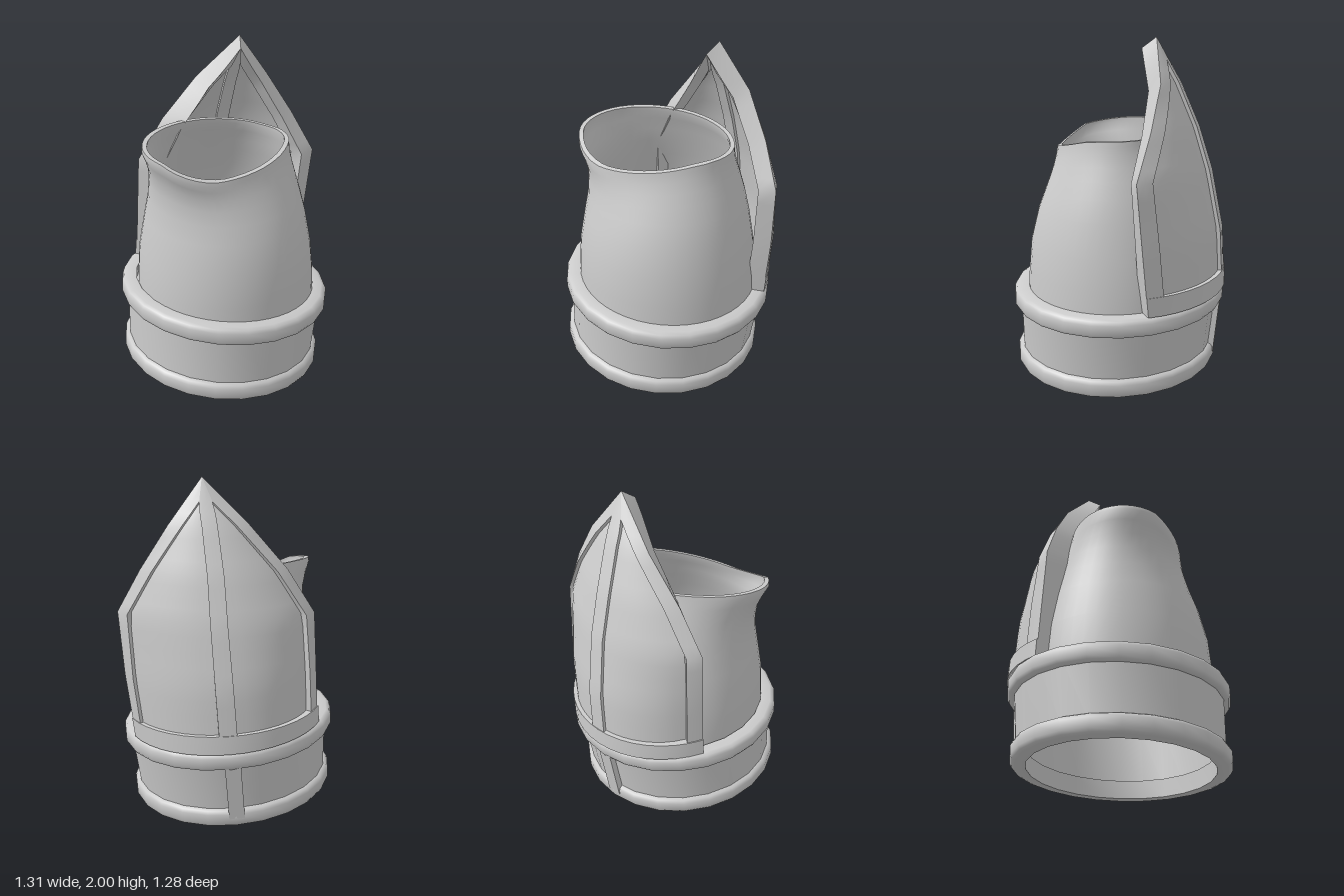
import * as THREE from 'three';
import { toCreasedNormals } from 'three/addons/utils/BufferGeometryUtils.js';

const material = new THREE.MeshStandardMaterial({ color: 0xcccccc });
const lerp = THREE.MathUtils.lerp;
const clamp = THREE.MathUtils.clamp;

function part(name, geometry, crease = 0.7) {
  const mesh = new THREE.Mesh(toCreasedNormals(geometry, crease), material);
  mesh.name = name;
  return mesh;
}

// Skin a list of rows; each row is a closed loop of points
function skin(rows) {
  const n = rows[0].length, index = [];
  for (let r = 0; r < rows.length - 1; r++) {
    for (let i = 0; i < n; i++) {
      const j = (i + 1) % n;
      const a = r * n + i, b = r * n + j, c = b + n, d = a + n;
      index.push(a, b, c, a, c, d);
    }
  }
  const geometry = new THREE.BufferGeometry();
  geometry.setAttribute('position', new THREE.Float32BufferAttribute(rows.flat(2), 3));
  geometry.setIndex(index);
  return geometry;
}

// The cuff leans: its rings are tilted and the lower one is shifted
const tilt = (x, z) => -0.06 * x - 0.055 * z;
function lean(geometry) {
  const p = geometry.attributes.position;
  for (let i = 0; i < p.count; i++) {
    const x = p.getX(i), y = p.getY(i), z = p.getZ(i);
    p.setXYZ(i, x - 0.037 * clamp((0.48 - y) / 0.38, 0, 1), y + tilt(x, z), z);
  }
  return geometry;
}

function ring(name, profile) {
  const points = profile.map(([r, y]) => new THREE.Vector2(r, y));
  return part(name, lean(new THREE.LatheGeometry(points, 24, Math.PI / 24)), 1);
}

// Rounded rim of outer radius R at height y
function rim(name, R, y) {
  return ring(name, [
    [R - 0.09, y - 0.055], [R - 0.03, y - 0.055], [R - 0.01, y - 0.048], [R, y - 0.03],
    [R, y + 0.025], [R - 0.01, y + 0.045], [R - 0.03, y + 0.055],
    [R - 0.09, y + 0.055], [R - 0.09, y - 0.055],
  ]);
}

// Tapered sleeve with a flared, slanted mouth
function sleeve() {
  // y, left x, right x, half depth
  const sections = [
    [0.45, -0.56, 0.56, 0.55], [0.62, -0.553, 0.552, 0.54], [0.8, -0.54, 0.53, 0.522],
    [1.0, -0.505, 0.495, 0.475], [1.12, -0.484, 0.468, 0.435], [1.22, -0.481, 0.44, 0.4],
    [1.3, -0.49, 0.418, 0.372], [1.37, -0.518, 0.402, 0.35],
    [1.42, -0.543, 0.396, 0.338], [1.445, -0.54, 0.395, 0.334],
  ];
  const loop = ([y, x0, x1, depth], inset) => Array.from({ length: 48 }, (_, i) => {
    const a = (i / 48) * Math.PI * 2;
    const w = clamp((y - 0.8) / 0.62, 0, 1) ** 2;
    const across = ((x1 - x0) / 2 - inset) * Math.cos(a);
    const x = (x0 + x1) / 2 + across;
    const z = 0.01 - (depth - inset) * Math.sin(a) + 0.1 * w * across;
    return [x, y + w * (-0.18 * z + 0.16 * Math.min(x, 0.2) * clamp(z * 4, 0, 1)), z];
  });
  const outer = sections.map((s) => loop(s, 0));
  const inner = sections.map((s) => loop(s, s[0] > 1.4 ? 0.026 : 0.016)).reverse();
  return part('sleeve', skin([...outer, ...inner]), 1);
}

// Pointed guard: y, then x and z of its front edge, ridge and rear edge
const guardSections = [
  [0.54, 0.62, 0.10, 0.405, -0.51, -0.22, -0.57],
  [0.90, 0.645, 0.15, 0.415, -0.48, -0.21, -0.55],
  [1.25, 0.652, 0.19, 0.395, -0.41, -0.20, -0.53],
  [1.50, 0.57, 0.07, 0.36, -0.34, -0.07, -0.44],
  [1.75, 0.455, -0.045, 0.32, -0.24, 0.105, -0.315],
  [2.00, 0.27, -0.11, 0.27, -0.11, 0.27, -0.11],
];
function sectionAt(s) {
  const k = Math.min(Math.floor(s), guardSections.length - 2);
  return guardSections[k].map((v, i) => lerp(v, guardSections[k + 1][i], s - k));
}
const spread = (s) => {
  const [, x0, z0, , , x1, z1] = sectionAt(s);
  return 0.6 * Math.hypot(x1 - x0, z1 - z0) + 0.001;
};

// Point on the guard: t across (-1 to 1), s up, d inward depth
function guardPoint(t, s, d) {
  const [y, x0, z0, xr, zr, x1, z1] = sectionAt(s);
  const mx = (x0 + x1) / 2, mz = (z0 + z1) / 2;
  const half = Math.hypot(x1 - mx, z1 - mz);
  const theta = half < 0.001 ? 0.6 : 2 * Math.atan(Math.hypot(xr - mx, zr - mz) / half);
  const across = Math.sin(t * theta) / Math.sin(theta);
  const bulge = (Math.cos(t * theta) - Math.cos(theta)) / (1 - Math.cos(theta));
  const x = mx + (x1 - mx) * across + (xr - mx) * bulge;
  const z = mz + (z1 - mz) * across + (zr - mz) * bulge;
  const dx = 0.05 - x, dz = 0.1 - z;
  const lower = clamp(1 - s / 2, 0, 1);
  // thinner towards the tip, thicker at the rear edge
  const depth = d * (1 - 0.04 * s + Math.max(t, 0) ** 4 * (1 - s / 5));
  const inward = depth / Math.hypot(dx, dz);
  return [
    x + dx * inward,
    y + tilt(x, z) * lower - 0.7 * depth * (s / 5) ** 2,
    z + dz * inward,
  ];
}

// Solid strip of the guard between t = from(s) and t = to(s)
function slab(name, from, to, s0, s1, d0, d1, steps) {
  const row = (s, back) => {
    const line = Array.from({ length: steps + 1 }, (_, i) => lerp(from(s), to(s), i / steps));
    return [
      ...line.map((t) => guardPoint(t, s, d0)),
      ...line.reverse().map((t) => guardPoint(t, s, back)),
    ];
  };
  const rows = [row(s0, d0)];
  const count = Math.max(2, Math.round((s1 - s0) * 4));
  for (let i = 0; i <= count; i++) rows.push(row(lerp(s0, s1, i / count), d1));
  rows.push(row(s1, d0));
  return part(name, skin(rows), 0.6);
}

function guard() {
  const group = new THREE.Group();
  group.name = 'pointedGuard';
  const edge = (s) => 1 - Math.min(0.095 / spread(s), 0.7);
  const ridge = (s) => Math.min(0.048 / spread(s), 0.3);
  group.add(
    slab('frontEdge', () => -1, (s) => -edge(s), 0, 5, 0, 0.11, 2),
    slab('rearEdge', edge, () => 1, 0, 5, 0, 0.11, 2),
    slab('ridge', (s) => -ridge(s), ridge, 0, 5, 0, 0.09, 2),
    slab('lowerEdge', () => -1, () => 1, 0, 0.3, -0.004, 0.1, 16),
    slab('frontPanel', (s) => -edge(s), (s) => -ridge(s), 0.1, 5, 0.022, 0.07, 8),
    slab('rearPanel', ridge, edge, 0.1, 5, 0.022, 0.07, 8),
  );
  return group;
}

export function createModel() {
  const model = new THREE.Group();
  model.name = 'armourCuff';

  // Lower band with its two rims
  model.add(
    rim('lowerRim', 0.62, 0.105),
    rim('upperRim', 0.646, 0.485),
    ring('band', [[0.54, 0.1], [0.588, 0.1], [0.61, 0.49], [0.55, 0.49], [0.54, 0.1]]),
  );

  // Upright strut in line with the guard's ridge
  const strut = new THREE.BoxGeometry(0.09, 0.38, 0.06);
  strut.rotateX(0.045);
  strut.translate(0, 0.295, 0.598);
  strut.rotateY(THREE.MathUtils.degToRad(143));
  model.add(part('strut', lean(strut)));

  model.add(sleeve(), guard());
  return model;
}
